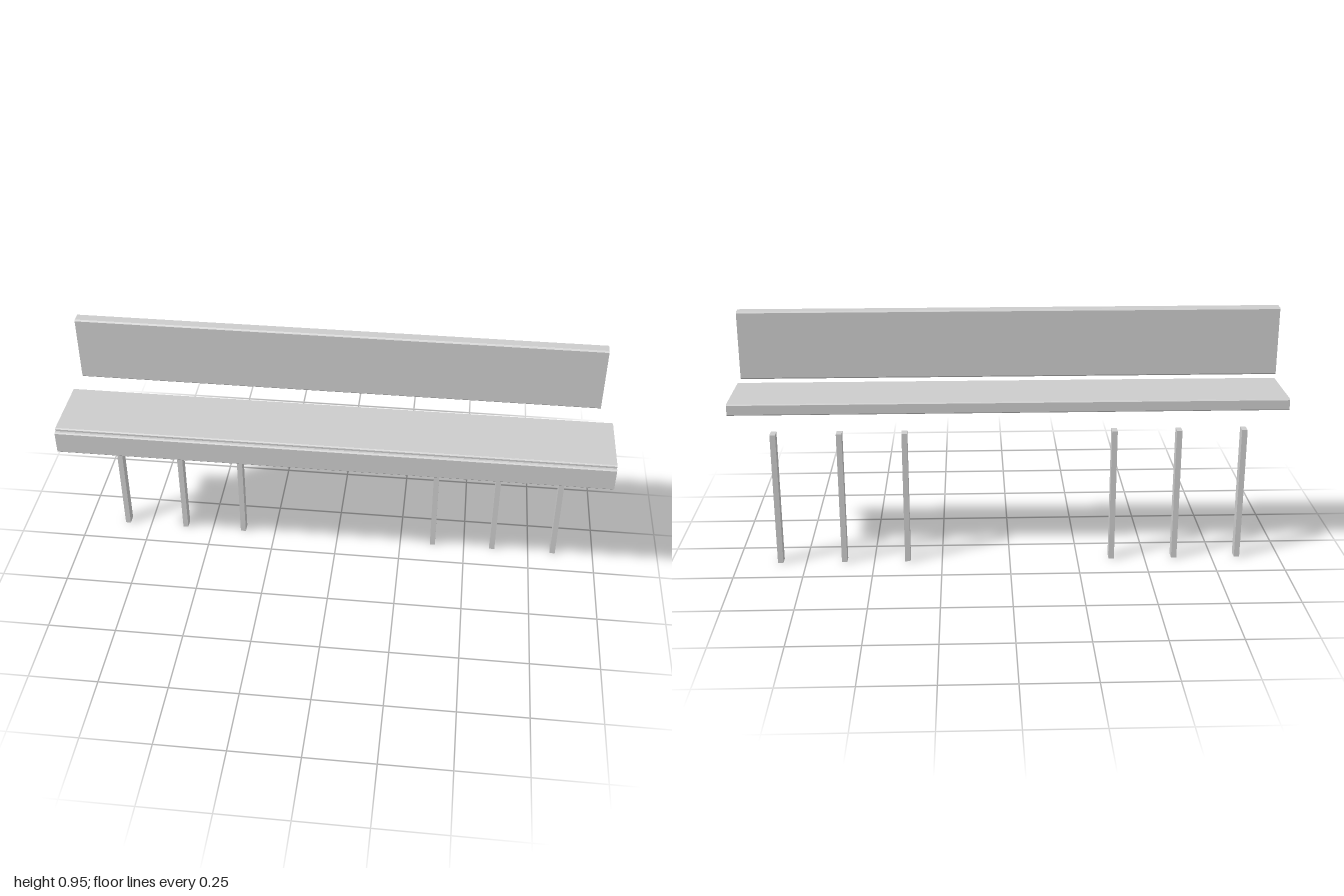
import * as THREE from 'three';

const material = new THREE.MeshStandardMaterial({ color: 0xcccccc, flatShading: true });

// Extrude a [z, y] profile along x, centred on x = 0
function board(name, points, length) {
  const shape = new THREE.Shape(points.map(([z, y]) => new THREE.Vector2(z, y)));
  const geometry = new THREE.ExtrudeGeometry(shape, { depth: length, bevelEnabled: false });
  geometry.translate(0, 0, -length / 2).rotateY(-Math.PI / 2);
  const mesh = new THREE.Mesh(geometry, material);
  mesh.name = name;
  return mesh;
}

// Rectangle profile with chamfered corners
function chamfered(z0, z1, y0, y1, c) {
  return [
    [z0 + c, y0], [z1 - c, y0], [z1, y0 + c], [z1, y1 - c],
    [z1 - c, y1], [z0 + c, y1], [z0, y1 - c], [z0, y0 + c],
  ];
}

export function createModel() {
  const group = new THREE.Group();
  group.name = 'bench';

  // Backrest plank
  group.add(board('backrest', chamfered(-0.127, -0.084, 0.709, 0.952, 0.005), 1.884));

  // Seat with a stepped front apron
  const c = 0.004;
  group.add(board('seat', [
    [-0.134 + c, 0.576], [0.099, 0.576], [0.099, 0.52 + c], [0.099 + c, 0.52],
    [0.134 - c, 0.52], [0.134, 0.52 + c], [0.134, 0.607 - c], [0.134 - c, 0.607],
    [0.121, 0.607], [0.121, 0.618 - c], [0.121 - c, 0.618],
    [-0.134 + c, 0.618], [-0.134, 0.618 - c], [-0.134, 0.576 + c],
  ], 2));

  // Rear posts, mirrored left and right
  const postGeometry = new THREE.BoxGeometry(0.02, 0.502, 0.037);
  for (const side of [1, -1]) {
    for (const x of [0.377, 0.61, 0.845]) {
      const post = new THREE.Mesh(postGeometry, material);
      post.name = side > 0 ? 'leftPost' : 'rightPost';
      post.position.set(side * x, 0.251, -0.1145);
      group.add(post);
    }
  }
  return group;
}
